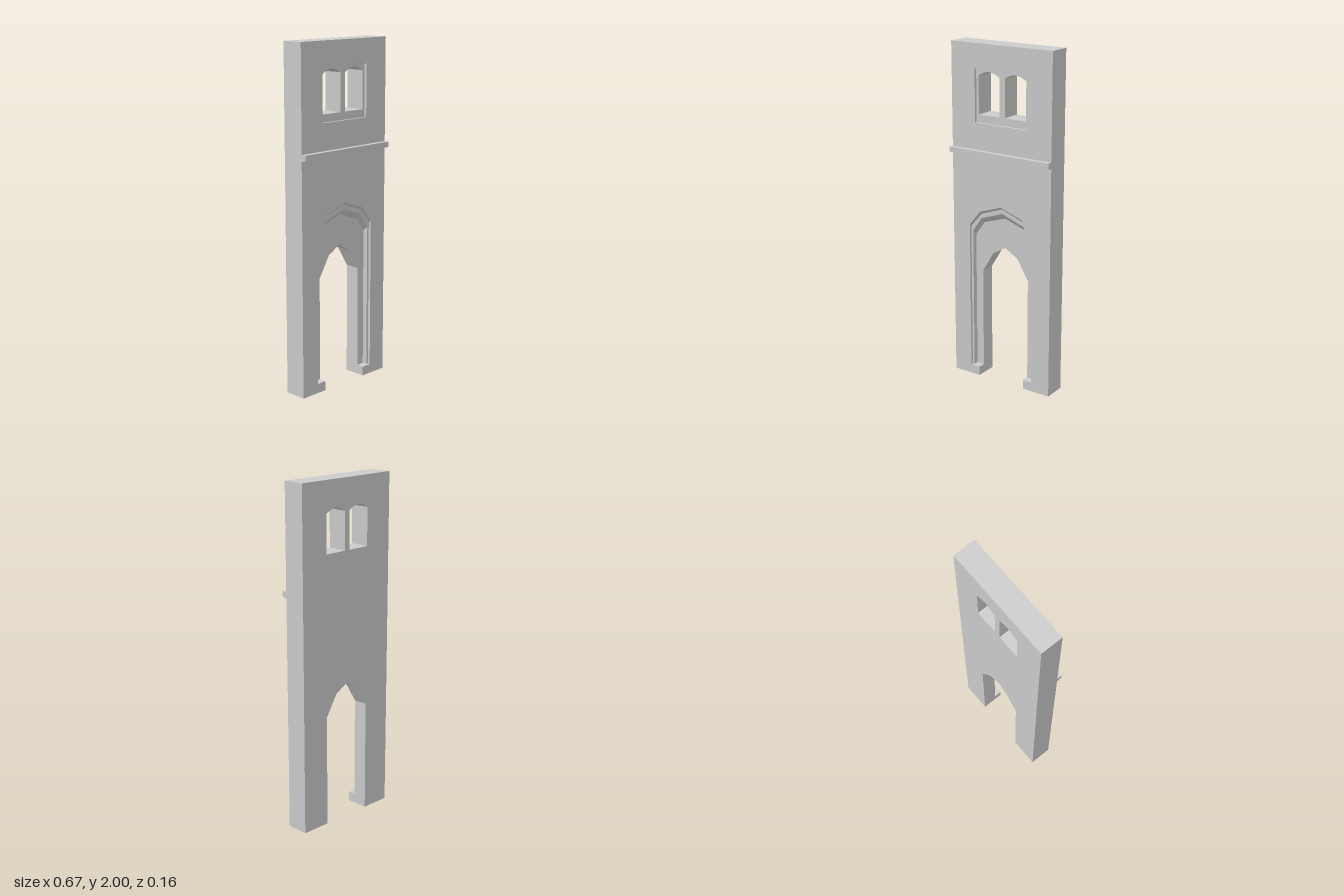
import * as THREE from 'three';

const material = new THREE.MeshStandardMaterial({ color: 0xcccccc, flatShading: true });

// Depths of the wall planes, front to back
const FRONT = 0.05, STEP = 0.035, RECESS = 0.005, BACK = -0.083;
const W = 0.333, H = 2, DOOR = 0.157, PLINTH = 0.055;

const toVectors = pts => pts.map(([x, y]) => new THREE.Vector2(x, y));

// Left half of an outline (going up to the apex on x = 0) mirrored to the right
function mirrored(left) {
  const right = left.filter(p => p[0] !== 0).map(([x, y]) => [-x, y]).reverse();
  return [...left, ...right];
}

function mesh(name, geometry) {
  const m = new THREE.Mesh(geometry, material);
  m.name = name;
  return m;
}

// Flat face at depth z, facing forwards or backwards
function face(name, outline, z, holes = [], backwards = false) {
  const shape = new THREE.Shape(toVectors(outline));
  shape.holes = holes.map(h => new THREE.Path(toVectors(h)));
  const g = new THREE.ShapeGeometry(shape);
  if (backwards) {
    g.index.array.reverse();
    g.computeVertexNormals();
  }
  g.translate(0, 0, z);
  return mesh(name, g);
}

// Reveal joining outline a at depth za to outline b at the deeper zb
function reveal(name, a, za, b, zb, closed = false) {
  const pos = [];
  const count = closed ? a.length : a.length - 1;
  for (let i = 0; i < count; i++) {
    const j = (i + 1) % a.length;
    const p0 = [...a[i], za], p1 = [...a[j], za];
    const q0 = [...b[i], zb], q1 = [...b[j], zb];
    pos.push(...p0, ...q0, ...p1, ...p1, ...q0, ...q1);
  }
  const g = new THREE.BufferGeometry();
  g.setAttribute('position', new THREE.Float32BufferAttribute(pos, 3));
  g.computeVertexNormals();
  return mesh(name, g);
}

export function createModel() {
  const model = new THREE.Group();

  // Doorway and the stepped arch mouldings around it
  const arch = (x, spring, shoulder, apex) => mirrored([
    [-DOOR, PLINTH], [-x, PLINTH], [-x, spring], [-0.143, shoulder], [0, apex]]);
  const outerFront = arch(0.218, 0.948, 1.038, 1.086);
  const outerBack = arch(0.218, 0.935, 1.022, 1.072);
  const innerFront = arch(0.205, 0.91, 0.995, 1.045);
  const innerBack = arch(0.205, 0.88, 0.963, 1.01);
  const door = mirrored([[-DOOR, PLINTH], [-DOOR, 0.662], [-0.083, 0.784], [0, 0.832]]);

  // Twin windows in a shallow arched frame
  const frame = mirrored([[-0.174, 1.555], [-0.174, 1.857], [-0.09, 1.88], [0, 1.89]]);
  const light = mirrored([[-0.07, 1.6], [-0.07, 1.82], [-0.036, 1.838], [0, 1.846]]);
  const windows = [-0.088, 0.088].map(cx => light.map(([x, y]) => [x + cx, y]));

  // Wall faces
  const withSides = opening => [[-W, 0], [-DOOR, 0], ...opening, [DOOR, 0], [W, 0], [W, H], [-W, H]];
  model.add(
    face('wallFront', withSides(outerFront), FRONT, [frame]),
    face('wallBack', withSides(door), BACK, windows, true),
    face('windowPanel', frame, STEP, windows),
    face('archLedge', [...outerBack.slice(1, -1), ...innerFront.slice(1, -1).reverse()], STEP),
    face('doorPanel', [...innerBack, ...door.slice(1, -1).reverse()], RECESS)
  );

  // Outer edges of the wall
  const edge = [[DOOR, 0], [W, 0], [W, H], [-W, H], [-W, 0], [-DOOR, 0]];
  model.add(reveal('wallEdges', edge, FRONT, edge, BACK));

  // Reveals of the doorway, arch and plinths
  model.add(
    reveal('outerArch', outerFront, FRONT, outerBack, STEP),
    reveal('innerArch', innerFront, STEP, innerBack, RECESS),
    reveal('doorway', door, RECESS, door, BACK)
  );
  for (const jamb of [[[-DOOR, 0], [-DOOR, PLINTH]], [[DOOR, PLINTH], [DOOR, 0]]]) {
    model.add(reveal('plinthJamb', jamb, FRONT, jamb, BACK));
  }

  // Reveals of the windows
  model.add(reveal('windowFrame', frame, FRONT, frame, STEP, true));
  windows.forEach(w => model.add(reveal('windowReveal', w, STEP, w, BACK, true)));

  // String course with a slightly arched, sloping underside
  const course = (end, mid, centre) => [
    ...mirrored([[-W, end], [-0.15, mid], [0, centre]]), [W, 1.4], [-W, 1.4]];
  const courseFront = course(1.368, 1.38, 1.383), courseBack = course(1.361, 1.373, 1.376);
  model.add(
    face('stringCourseFront', courseFront, 0.08),
    reveal('stringCourseEdges', courseFront, 0.08, courseBack, FRONT, true)
  );

  return model;
}
